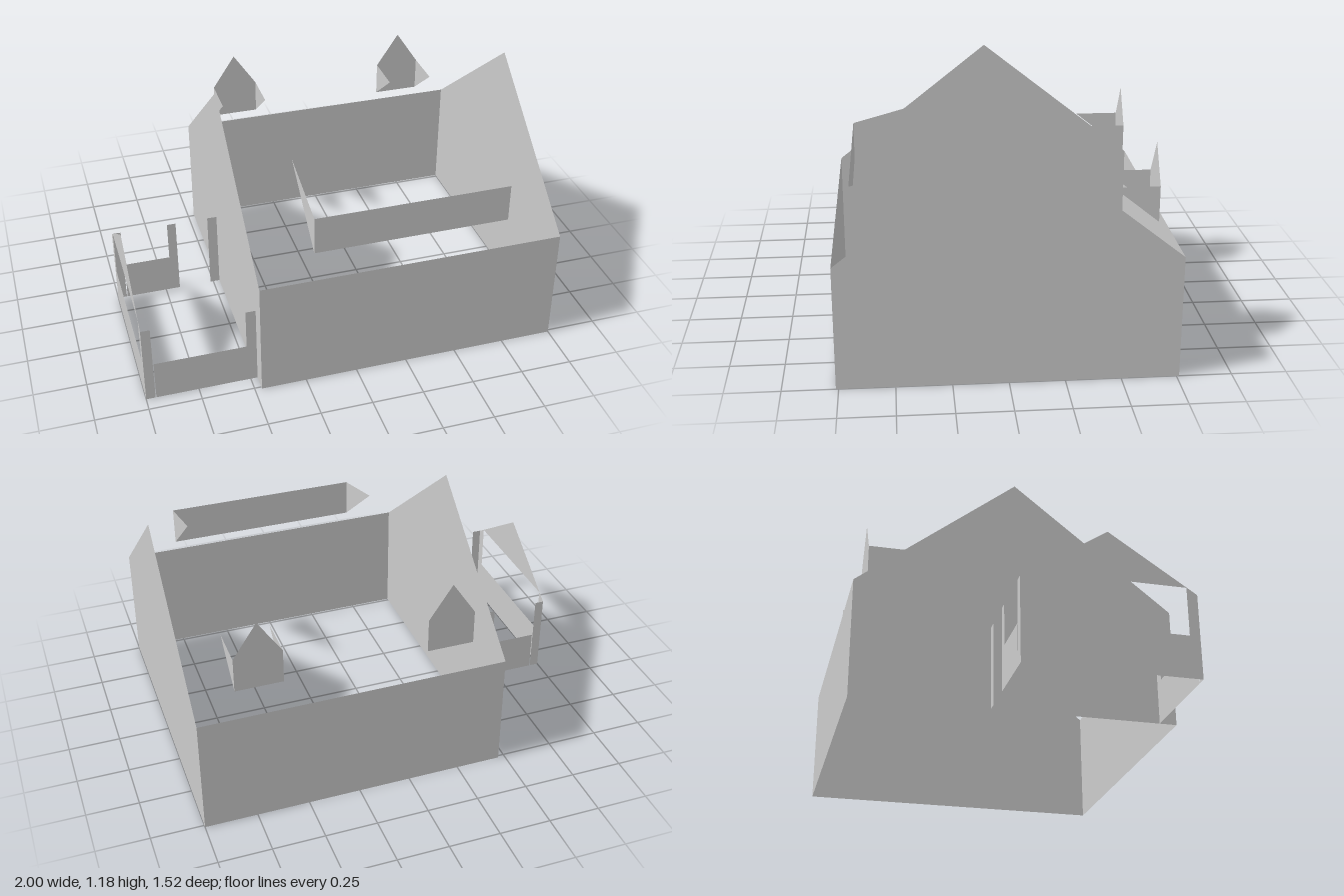
import * as THREE from 'three';

const material = new THREE.MeshStandardMaterial({ color: 0xcccccc, side: THREE.DoubleSide, flatShading: true });

// Flat panel from outline points, with an optional hole
function panel(name, points, hole) {
  const shape = new THREE.Shape(points.map(([a, b]) => new THREE.Vector2(a, b)));
  if (hole) shape.holes.push(new THREE.Path(hole.map(([a, b]) => new THREE.Vector2(a, b))));
  const mesh = new THREE.Mesh(new THREE.ShapeGeometry(shape), material);
  mesh.name = name;
  return mesh;
}

// Panel facing along z: points are (x, y)
function zPanel(name, z, points) {
  const mesh = panel(name, points);
  mesh.position.z = z;
  return mesh;
}

// Panel facing along x: points are (z, y)
function xPanel(name, x, points, hole) {
  const mesh = panel(name, points, hole);
  mesh.geometry.rotateY(-Math.PI / 2);
  mesh.position.x = x;
  return mesh;
}

const rect = (a0, a1, b0, b1) => [[a0, b0], [a1, b0], [a1, b1], [a0, b1]];

function group(name, ...parts) {
  const g = new THREE.Group();
  g.name = name;
  g.add(...parts);
  return g;
}

function createHouseWalls() {
  const left = -0.467, right = 1, depth = 0.762, eave = 0.575, ridge = 1.177;
  const gable = [[-depth, 0], [depth, 0], [depth, eave], [0, ridge], [-depth, eave]];
  return group('houseWalls',
    zPanel('frontWall', depth, rect(left, right, 0, eave)),
    zPanel('backWall', -depth, rect(left, right, 0, eave)),
    xPanel('rightGableWall', left, gable),
    xPanel('leftGableWall', right, gable));
}

// Wide dormer on the front slope
function createShedDormer() {
  const x0 = -0.188, x1 = 0.76, z = 0.682, bottom = 0.667, top = 0.853;
  const cheek = [[z, bottom], [z, top], [0.32, 0.952]];
  return group('shedDormer',
    zPanel('dormerFront', z, rect(x0, x1, bottom, top)),
    xPanel('dormerCheek', x0, cheek),
    xPanel('dormerCheek', x1, cheek));
}

// Small pointed dormer on the back slope
function createGableDormer(x) {
  const half = 0.113, z = -0.682, bottom = 0.665, eave = 0.832;
  const cheek = [[z, bottom], [z, eave], [-0.473, eave]];
  return group('gableDormer',
    zPanel('dormerFront', z, [
      [x - half, bottom], [x + half, bottom], [x + half, eave], [x, 1.0], [x - half, eave]]),
    xPanel('dormerCheek', x - half, cheek),
    xPanel('dormerCheek', x + half, cheek));
}

function createPorch() {
  const outer = -1, inner = -0.467, front = 0.68, back = -0.118;
  const post = 0.048, rail = 0.2, top = 0.4, middle = (front + back) / 2, peak = 0.665;
  const lintel = top + (peak - top) * post / (front - middle);
  const porch = group('porch',
    // Gabled end with an opening above the low wall
    xPanel('porchEndWall', outer,
      [[back, 0], [front, 0], [front, top], [middle, peak], [back, top]],
      rect(back + post, front - post, rail, lintel - 0.002)),
    zPanel('frontLowWall', front, rect(outer + post, inner - post, 0, rail)),
    // Back low wall stops at the entry post
    zPanel('backLowWall', back, rect(outer + post, -0.722, 0, rail)),
    zPanel('entryPost', back, rect(-0.722, -0.678, 0, top)));
  for (const z of [front, back]) {
    porch.add(zPanel('cornerPost', z, rect(outer, outer + post - 0.004, 0, top)));
    porch.add(zPanel('housePost', z, rect(inner - post, inner, 0, top)));
  }
  return porch;
}

export function createModel() {
  return group('house',
    createHouseWalls(),
    createShedDormer(),
    createGableDormer(-0.22),
    createGableDormer(0.692),
    createPorch());
}
